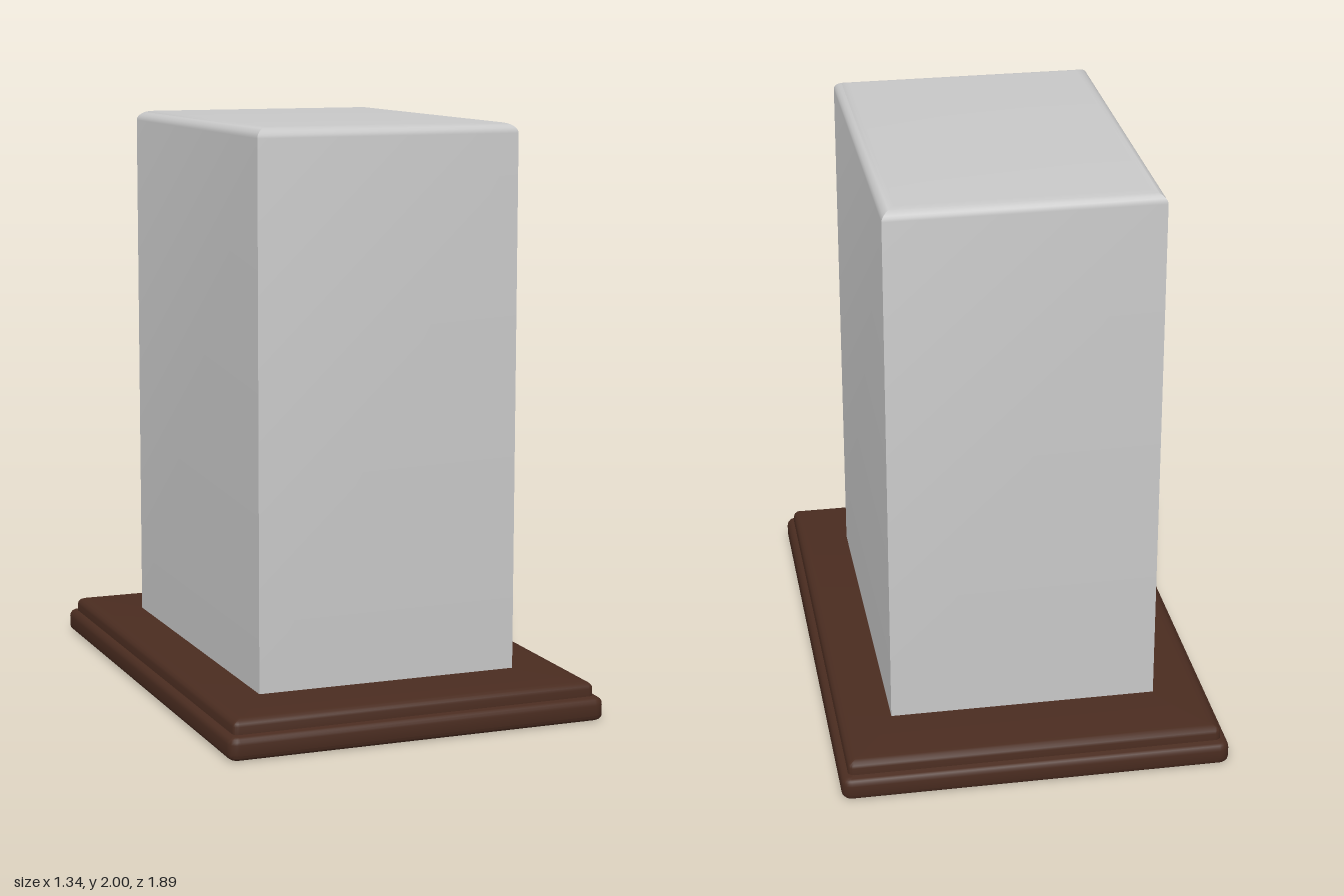
import * as THREE from 'three';
import { toCreasedNormals } from 'three/addons/utils/BufferGeometryUtils.js';

// Horizontal outline of a rectangle with optional rounded corners, from +z round to +x
function outline(hx, hz, r, steps) {
  const pts = [];
  const corners = [[1, 1], [1, -1], [-1, -1], [-1, 1]];
  corners.forEach(([sx, sz], c) => {
    for (let i = 0; i <= steps; i++) {
      const a = (c + (steps ? i / steps : 0)) * Math.PI / 2;
      pts.push([sx * (hx - r) + r * Math.sin(a), sz * (hz - r) + r * Math.cos(a)]);
    }
  });
  return pts;
}

// Capped loft of [inset, y] levels, listed from bottom to top
function moulding(hx, hz, r, steps, levels) {
  const pos = [], idx = [];
  for (const [inset, y] of levels) {
    for (const [x, z] of outline(hx - inset, hz - inset, Math.max(r - inset, r * 0.3), steps)) pos.push(x, y, z);
  }
  const n = 4 * (steps + 1), last = (levels.length - 1) * n, centre = levels.length * n;
  pos.push(0, levels[0][1], 0, 0, levels[levels.length - 1][1], 0);
  for (let i = 0; i < n; i++) {
    const j = (i + 1) % n;
    for (let k = 0; k < last; k += n) idx.push(k + i, k + j, k + n + j, k + i, k + n + j, k + n + i);
    idx.push(centre, j, i, centre + 1, last + i, last + j);
  }
  const g = new THREE.BufferGeometry();
  g.setAttribute('position', new THREE.Float32BufferAttribute(pos, 3));
  g.setIndex(idx);
  return toCreasedNormals(g, 0.65);
}

// Quarter-round edge, from the upright side (t = 0) to the flat top (t = 1)
function roundOver(width, height, top, steps) {
  return Array.from({ length: steps + 1 }, (_, i) => {
    const a = i / steps * Math.PI / 2;
    return [width * (1 - Math.cos(a)), top - height * (1 - Math.sin(a))];
  });
}

export function createModel() {
  const group = new THREE.Group();
  const wood = new THREE.MeshStandardMaterial({ color: 0x4a2c20 });
  wood.name = 'dark wood';
  const panel = new THREE.MeshStandardMaterial({ color: 0xc8c8c8 });
  panel.name = 'pale grey';

  const add = (name, geometry, material) => {
    const mesh = new THREE.Mesh(geometry, material);
    mesh.name = name;
    group.add(mesh);
  };

  // Lower plinth, rounded along both its bottom and top edges
  const bottomEdge = roundOver(0.025, 0.02, 0, 4).reverse().map(([inset, y]) => [inset, -y]);
  add('lowerPlinth', moulding(0.67, 0.945, 0.035, 5,
    [...bottomEdge, ...roundOver(0.025, 0.025, 0.08, 4)]), wood);

  // Upper plinth step with a rounded top edge
  add('upperPlinth', moulding(0.645, 0.91, 0.02, 4,
    [[0, 0.07], ...roundOver(0.04, 0.025, 0.13, 4)]), wood);

  // Tall case with sharp uprights and a rounded, mitred top edge
  add('case', moulding(0.463, 0.648, 0, 0,
    [[0, 0.125], ...roundOver(0.05, 0.035, 2, 6)]), panel);

  return group;
}
